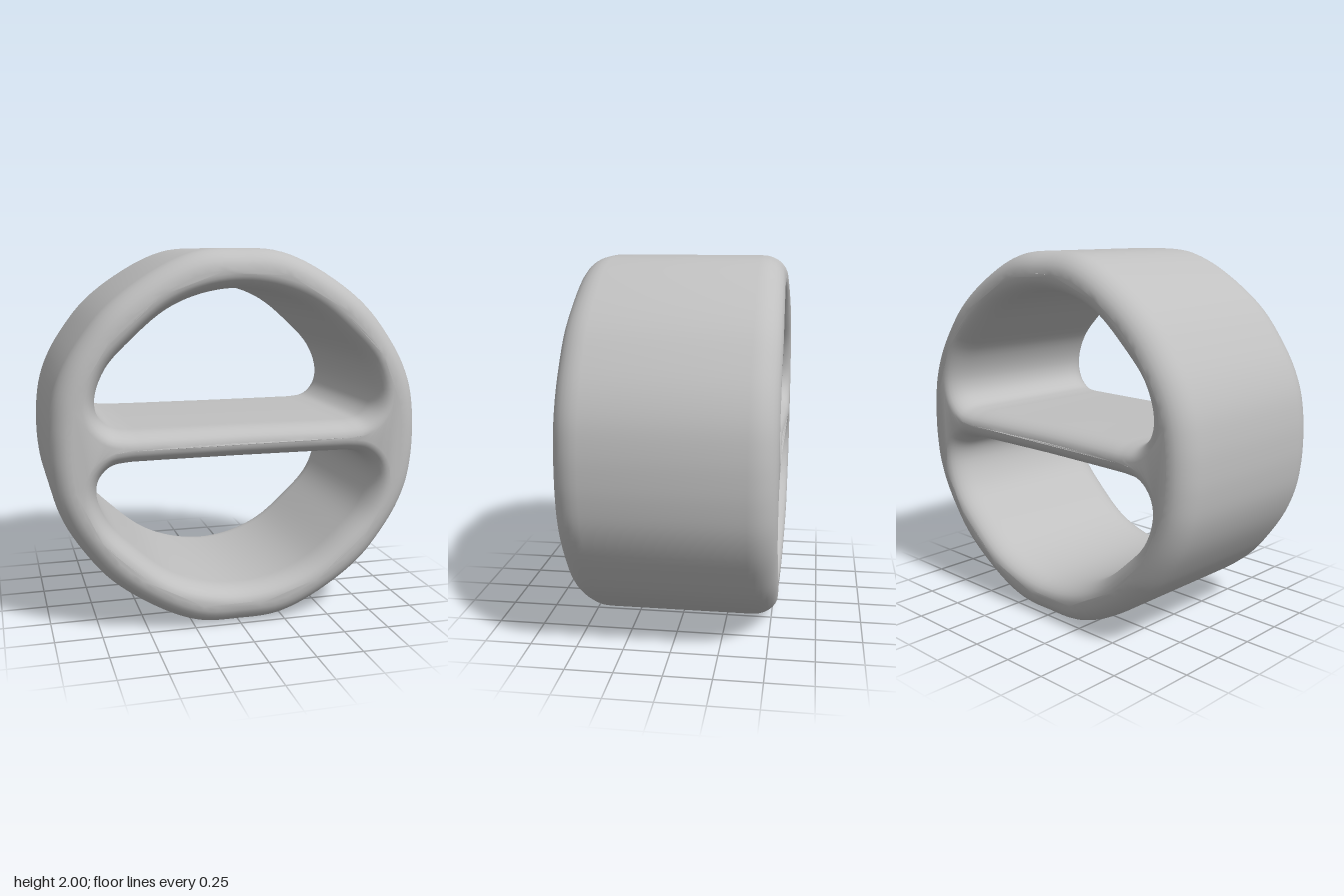
import * as THREE from 'three';
import { toCreasedNormals } from 'three/addons/utils/BufferGeometryUtils.js';

const BEVEL = 0.078, BEVEL_DEPTH = 0.14, HALF_DEPTH = 0.54;

// Smooth closed loop through [x, y] points
function smoothLoop(points, divisions) {
  const curve = new THREE.CatmullRomCurve3(
    points.map(([x, y]) => new THREE.Vector3(x, y, 0)), true, 'centripetal');
  return curve.getPoints(divisions).slice(0, -1).map(p => new THREE.Vector2(p.x, p.y));
}

// Adds the x-mirrored half, skipping points on the centre line
function mirrorX(half) {
  const other = half.filter(([x]) => x !== 0).reverse().map(([x, y]) => [-x, y]);
  return [...half, ...other];
}

// Rounds the outer rim more than the openings and bows the faces slightly
function softenRims(geometry, flatHalf) {
  const pos = geometry.attributes.position;
  for (let i = 0; i < pos.count; i++) {
    const x = pos.getX(i), y = pos.getY(i), z = pos.getZ(i);
    const t = THREE.MathUtils.clamp((Math.abs(z) - flatHalf) / BEVEL_DEPTH, 0, 1);
    const inset = Math.hypot(x, y) > 0.9 ? 0.036 * (1 - Math.sqrt(1 - t * t)) : 0;
    const bow = 0.982 + 0.03 * Math.min(Math.abs(x) / 0.65, 1);
    pos.setXYZ(i, x * (1 - inset), y * (1 - inset), z * bow);
  }
}

export function createModel() {
  const group = new THREE.Group();
  group.name = 'dividedRing';
  const grey = new THREE.MeshStandardMaterial({ color: 0xc0c0c0 });
  grey.name = 'lightGrey';

  // Outer outline, heights measured from the middle
  const quarter = [[0, 1], [0.2, 0.99], [0.36, 0.935], [0.57, 0.81], [0.71, 0.695], [0.81, 0.575],
    [0.91, 0.42], [0.97, 0.27], [0.995, 0.12], [1, 0]];
  const lower = quarter.slice(0, -1).reverse().map(([x, y]) => [x, -y]);
  const outline = mirrorX([...quarter, ...lower]).reverse();

  // D-shaped opening above the bar, repeated below it
  const opening = mirrorX([[0, 0.797], [0.2, 0.77], [0.38, 0.695], [0.56, 0.55], [0.7, 0.4],
    [0.755, 0.25], [0.74, 0.16], [0.68, 0.1], [0.6, 0.085], [0.5, 0.083], [0, 0.083]]);

  const shape = new THREE.Shape(smoothLoop(outline, 144));
  for (const side of [1, -1]) {
    const loop = opening.map(([x, y]) => [x, y * side]);
    if (side < 0) loop.reverse(); // both openings wind clockwise
    shape.holes.push(new THREE.Path(smoothLoop(loop, 100)));
  }

  // Ring and crossbar in one piece with rounded rims
  const depth = 2 * (HALF_DEPTH - BEVEL_DEPTH);
  const geometry = new THREE.ExtrudeGeometry(shape, {
    depth, steps: 1, bevelEnabled: true, bevelSegments: 7,
    bevelSize: BEVEL, bevelOffset: -BEVEL, bevelThickness: BEVEL_DEPTH,
  });
  geometry.translate(0, 0, -depth / 2);
  softenRims(geometry, depth / 2);
  geometry.translate(0, 1, 0);
  const body = new THREE.Mesh(toCreasedNormals(geometry, 0.7), grey);
  body.name = 'ringWithCrossbar';
  group.add(body);
  return group;
}
